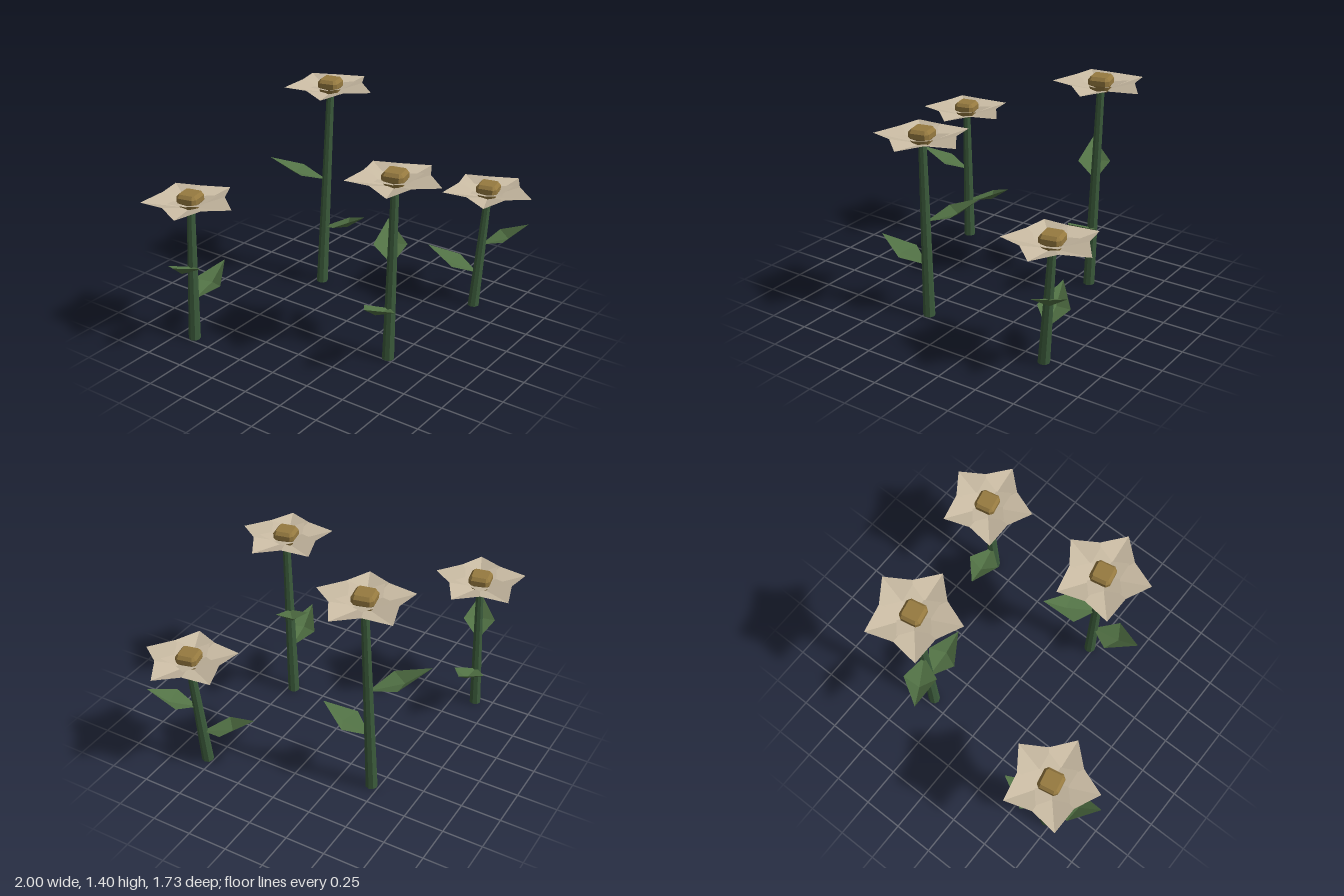
import * as THREE from 'three';

const mat = (color) => new THREE.MeshStandardMaterial({ color, flatShading: true, side: THREE.DoubleSide });
const stemMat = mat(0x3c5c3c), leafMat = mat(0x527245), petalMat = mat(0xc8baa2), discMat = mat(0x967a40);

// Flat-shaded surface from a list of triangles of Vector3 corners
function facets(tris, material, name) {
  const g = new THREE.BufferGeometry().setFromPoints(tris.flat());
  g.computeVertexNormals();
  const m = new THREE.Mesh(g, material);
  m.name = name;
  return m;
}

// Five-pointed folded star; the first tip lies at angle a0 (from +x towards +z)
function star(a0, rTip, yTip, rNotch, yNotch, yCentre, name) {
  const at = (i) => {
    const a = a0 + i * Math.PI / 5, r = i % 2 ? rNotch : rTip;
    return new THREE.Vector3(r * Math.cos(a), i % 2 ? yNotch : yTip, r * Math.sin(a));
  };
  const tris = [];
  for (let i = 0; i < 10; i++) tris.push([new THREE.Vector3(0, yCentre, 0), at(i + 1), at(i)]);
  return facets(tris, petalMat, name);
}

// Faceted square centre: stacked rings with cut corners
function disc() {
  const rings = [[0.05, 0.036, -0.04], [0.066, 0.046, 0.0], [0.066, 0.046, 0.03], [0.05, 0.042, 0.05]];
  const ring = ([h, c, y]) => [[h, -c], [h, c], [c, h], [-c, h], [-h, c], [-h, -c], [-c, -h], [c, -h]]
    .map(([x, z]) => new THREE.Vector3(x, y, z));
  const tris = [];
  const loops = rings.map(ring);
  for (let k = 0; k < loops.length - 1; k++) {
    for (let i = 0; i < 8; i++) {
      const j = (i + 1) % 8, lo = loops[k], hi = loops[k + 1];
      tris.push([lo[i], hi[i], hi[j]], [lo[i], hi[j], lo[j]]);
    }
  }
  for (let i = 1; i < 7; i++) {
    tris.push([loops[3][0], loops[3][i + 1], loops[3][i]]);
    tris.push([loops[0][0], loops[0][i], loops[0][i + 1]]);
  }
  const m = facets(tris, discMat, 'flowerCentre');
  m.rotation.y = 0.2;
  return m;
}

// Tapered stem, sheared so that both ends stay level
function stem(base, top) {
  const h = top.y;
  const g = new THREE.CylinderGeometry(0.024, 0.037, h, 8);
  g.translate(0, h / 2, 0);
  const p = g.attributes.position;
  for (let i = 0; i < p.count; i++) {
    const t = p.getY(i) / h;
    p.setX(i, p.getX(i) + base.x + (top.x - base.x) * t);
    p.setZ(i, p.getZ(i) + base.z + (top.z - base.z) * t);
  }
  g.computeVertexNormals();
  const m = new THREE.Mesh(g, stemMat);
  m.name = 'stem';
  return m;
}

// Leaf folded along its drooping midrib
function leaf(root, tip) {
  const side = new THREE.Vector3(tip.z - root.z, 0, root.x - tip.x).normalize().multiplyScalar(0.1);
  const rib = root.clone().lerp(tip, 0.58);
  rib.y -= 0.04;
  const mid = root.clone().lerp(tip, 0.43);
  const a = mid.clone().add(side), b = mid.clone().sub(side);
  return facets([[root, rib, a], [a, rib, tip], [root, b, rib], [rib, b, tip]], leafMat, 'leaf');
}

export function createModel() {
  const group = new THREE.Group();
  const v = (a) => new THREE.Vector3(...a);
  // base and head positions, then leaves as [height on stem, tip]
  const flowers = [
    { base: [-0.71, 0, -0.64], head: [-0.705, 0.925, -0.615],
      leaves: [[0.49, [-1.0, 0.635, -0.505]], [0.265, [-0.39, 0.405, -0.65]]] },
    { base: [-0.225, 0, 0.46], head: [-0.222, 1.165, 0.487],
      leaves: [[0.34, [-0.54, 0.48, 0.5]], [0.625, [0.04, 0.77, 0.275]]] },
    { base: [0.36, 0, -0.455], head: [0.42, 1.355, -0.422],
      leaves: [[0.725, [0.197, 0.875, -0.74]], [0.395, [0.385, 0.535, -0.135]]] },
    { base: [0.65, 0, 0.54], head: [0.714, 0.785, 0.572],
      leaves: [[0.42, [0.845, 0.563, 0.8]], [0.225, [0.58, 0.37, 0.228]]] },
  ];
  const a0 = THREE.MathUtils.degToRad(12.5);
  for (const f of flowers) {
    const flower = new THREE.Group();
    flower.name = 'flower';
    const base = v(f.base), head = v(f.head);
    flower.add(stem(base, new THREE.Vector3(head.x, head.y - 0.04, head.z)));

    for (const [y, tip] of f.leaves) {
      const root = base.clone().lerp(head, y / head.y);
      flower.add(leaf(root, v(tip)));
    }

    // Blossom: outer petals, smaller inner petals over the notches, centre
    const blossom = new THREE.Group();
    blossom.name = 'blossom';
    blossom.add(star(a0, 0.29, 0, 0.2, 0.012, -0.047, 'outerPetals'));
    blossom.add(star(a0 + Math.PI / 5, 0.165, 0.026, 0.1, 0.0, -0.025, 'innerPetals'));
    blossom.add(disc());
    blossom.position.copy(head);
    flower.add(blossom);
    group.add(flower);
  }
  return group;
}
